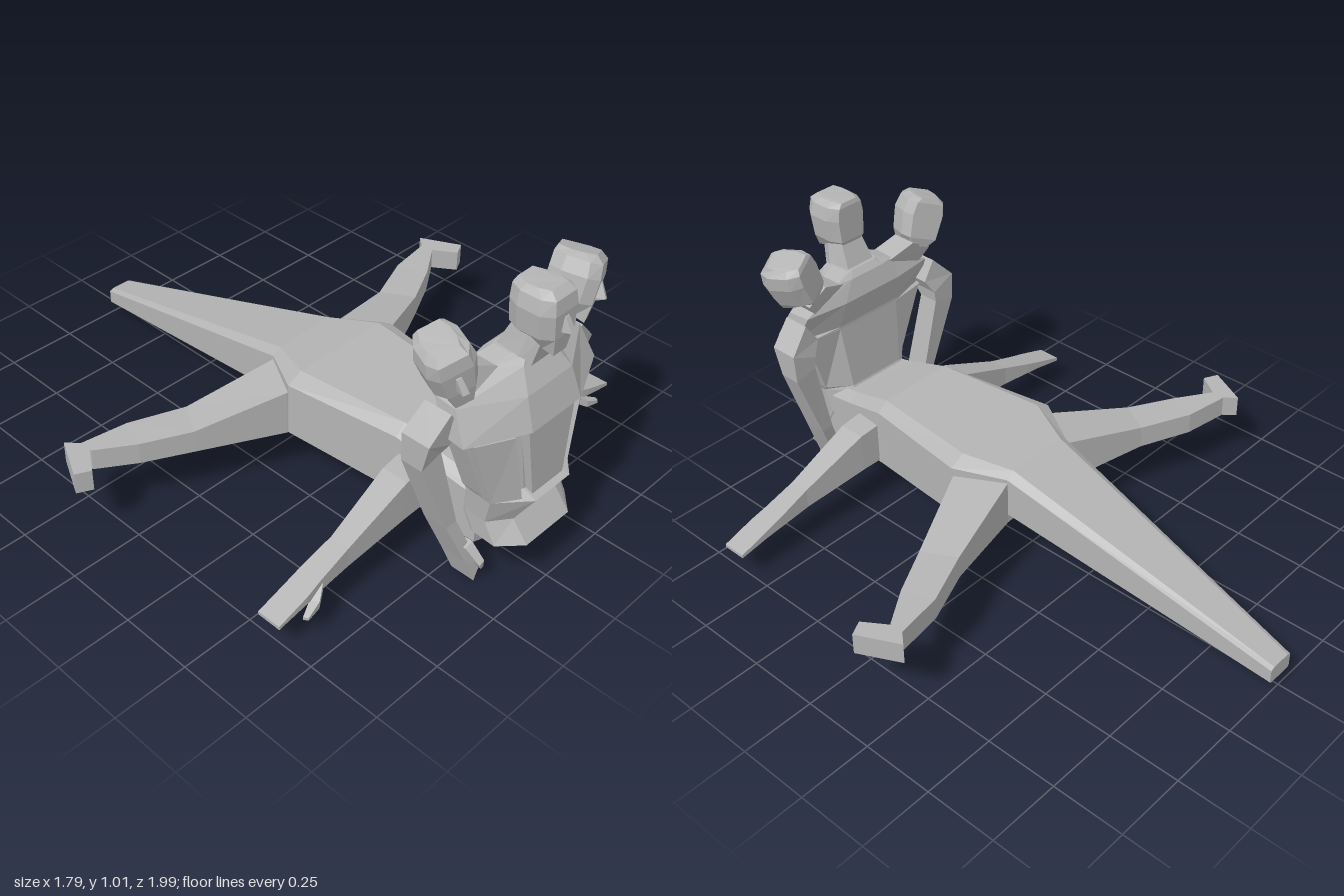
import * as THREE from 'three';

const skin = new THREE.MeshStandardMaterial({ color: 0xb4b4b4, flatShading: true });
skin.name = 'plain grey';

// Closed faceted solid through rings of equal point count; winding is fixed by signed volume
function loft(name, rings) {
  const n = rings[0].length, tris = [];
  for (let r = 0; r < rings.length - 1; r++) {
    for (let i = 0; i < n; i++) {
      const j = (i + 1) % n, a = rings[r][i], b = rings[r][j], c = rings[r + 1][j], d = rings[r + 1][i];
      tris.push([a, b, c], [a, c, d]);
    }
  }
  const last = rings[rings.length - 1];
  for (let i = 1; i < n - 1; i++) {
    tris.push([rings[0][0], rings[0][i + 1], rings[0][i]], [last[0], last[i], last[i + 1]]);
  }
  const v = (p) => new THREE.Vector3(...p);
  const o = v(rings[0][0]);
  const volume = tris.reduce((s, [a, b, c]) =>
    s + v(a).sub(o).dot(v(b).sub(o).cross(v(c).sub(o))), 0);
  const pos = tris.flatMap(([a, b, c]) => (volume < 0 ? [a, c, b] : [a, b, c]).flat());
  const geo = new THREE.BufferGeometry();
  geo.setAttribute('position', new THREE.Float32BufferAttribute(pos, 3));
  geo.computeVertexNormals();
  const mesh = new THREE.Mesh(geo, skin);
  mesh.name = name;
  return mesh;
}

// Ring symmetric in x from one half, listed from one end of the centre line to the other
const mirrorRing = (half) => [...half, ...half.slice().reverse().map(([x, y, z]) => [-x, y, z])];
const flip = (rings, s) => rings.map((ring) => ring.map(([x, y, z]) => [s * x, y, z]));

// Long lower body and tail: z, bottom, top, half widths of top, side and bottom
function makeBody() {
  const rows = [
    [-1, 0.04, 0.10, 0.035, 0.05, 0.045],
    [-0.02, 0.20, 0.38, 0.115, 0.145, 0.13],
    [0.14, 0.165, 0.405, 0.18, 0.235, 0.2],
    [0.54, 0.135, 0.405, 0.14, 0.18, 0.15],
    [0.70, 0.12, 0.36, 0.13, 0.165, 0.12],
    [0.84, 0.115, 0.335, 0.12, 0.16, 0.10],
  ];
  return loft('bodyAndTail', rows.map(([z, yb, yt, wt, ws, wb]) => mirrorRing([
    [wt, yt, z], [ws, yt - 0.12 * (yt - yb), z], [ws, yb + 0.1 * (yt - yb), z], [wb, yb, z],
  ])));
}

// Upright torso: y, front half width and z, side half width and z, back half width and z
function makeTorso() {
  const rows = [
    [0.115, 0.09, 0.88, 0.11, 0.83, 0.09, 0.74],
    [0.18, 0.10, 0.985, 0.17, 0.92, 0.13, 0.72],
    [0.25, 0.10, 0.93, 0.17, 0.88, 0.13, 0.74],
    [0.34, 0.08, 0.985, 0.18, 0.90, 0.11, 0.73],
    [0.36, 0.08, 0.94, 0.19, 0.88, 0.11, 0.74],
    [0.59, 0.10, 0.925, 0.27, 0.86, 0.13, 0.76],
    [0.60, 0.11, 0.97, 0.30, 0.88, 0.13, 0.76],
    [0.70, 0.10, 0.935, 0.28, 0.83, 0.12, 0.73],
    [0.765, 0.07, 0.89, 0.13, 0.83, 0.07, 0.75],
    [0.785, 0.05, 0.88, 0.07, 0.84, 0.05, 0.77],
  ];
  return loft('torso', rows.map(([y, xf, zf, xs, zs, xb, zb]) => mirrorRing([
    [xf, y, zf], [xs, y, zs], [xs * 0.97, y, Math.max(zb + 0.01, zs - 0.08)], [xb, y, zb],
  ])));
}

// Raised belly panels, given as four front corners pushed back for thickness
function panel(name, corners) {
  return loft(name, [corners, corners.map(([x, y, z]) => [x * 0.98, y, z - 0.05])]);
}

// Faceted head with chin, nose and flat crown, built around its own centre
function makeHead(name) {
  const head = new THREE.Group();
  head.name = name;
  // front y, back y, face half width, side half width, front z, back z
  const rows = [
    [-0.10, -0.07, 0.028, 0.035, 0.068, -0.065],
    [-0.04, -0.04, 0.04, 0.066, 0.075, -0.075],
    [0.04, 0.04, 0.05, 0.076, 0.077, -0.075],
    [0.085, 0.085, 0.045, 0.066, 0.07, -0.075],
    [0.105, 0.10, 0.035, 0.045, 0.045, -0.07],
  ];
  head.add(loft('skull', rows.map(([yf, yb, wf, ws, zf, zb]) => mirrorRing([
    [wf, yf, zf], [ws, yf * 0.6 + yb * 0.4, zf - 0.035],
    [ws, yb, zb + 0.04], [ws * 0.72, yb, zb],
  ]))));
  head.add(loft('nose', [
    [[-0.008, 0.025, 0.07], [0.008, 0.025, 0.07], [0.008, 0.025, 0.08], [-0.008, 0.025, 0.08]],
    [[-0.018, -0.025, 0.06], [0.018, -0.025, 0.06], [0.01, -0.018, 0.105], [-0.01, -0.018, 0.105]],
    [[-0.014, -0.035, 0.06], [0.014, -0.035, 0.06], [0.01, -0.03, 0.08], [-0.01, -0.03, 0.08]],
  ]));
  return head;
}

// Upright arm section: outer and inner corner, front and back z
const armRing = ([ox, oy, ix, iy, zf, zb]) => [[ox, oy, zf], [ix, iy, zf], [ix, iy, zb], [ox, oy, zb]];
// Sideways limb section: x and z of both edges, bottom and top
const limbRing = ([xa, za, xb, zb, yb, yt]) => [[xa, yb, za], [xb, yb, zb], [xb, yt, zb], [xa, yt, za]];

function addSide(model, s, side) {
  const add = (name, rings) => model.add(loft(side + name, flip(rings, s)));

  // Hanging upper arm with thumb
  add('UpperArm', [
    [0.295, 0.69, 0.25, 0.62, 0.83, 0.735],
    [0.37, 0.61, 0.28, 0.57, 0.82, 0.72],
    [0.366, 0.51, 0.285, 0.53, 0.795, 0.72],
    [0.27, 0.25, 0.225, 0.25, 0.82, 0.735],
    [0.205, 0.09, 0.172, 0.11, 0.85, 0.76],
    [0.172, 0.0, 0.15, 0.045, 0.86, 0.775],
  ].map(armRing));
  add('UpperThumb', [
    [0.21, 0.15, 0.18, 0.16, 0.85, 0.82],
    [0.195, 0.10, 0.175, 0.11, 0.895, 0.865],
    [0.18, 0.075, 0.17, 0.08, 0.89, 0.88],
  ].map(armRing));

  // Outstretched lower arm with thumb
  add('LowerArm', [
    [0.14, 0.55, 0.14, 0.65, 0.17, 0.32],
    [0.25, 0.555, 0.25, 0.65, 0.165, 0.305],
    [0.49, 0.575, 0.49, 0.645, 0.135, 0.205],
    [0.61, 0.57, 0.61, 0.65, 0.125, 0.165],
    [0.67, 0.57, 0.67, 0.655, 0.118, 0.145],
    [0.78, 0.57, 0.78, 0.655, 0.098, 0.11],
  ].map(limbRing));
  add('LowerThumb', [
    [0.60, 0.62, 0.60, 0.65, 0.12, 0.15],
    [0.655, 0.65, 0.64, 0.675, 0.095, 0.12],
    [0.70, 0.668, 0.69, 0.682, 0.088, 0.098],
  ].map(limbRing));

  // Hind leg and angled foot
  add('HindLeg', [
    [0.10, -0.02, 0.17, 0.15, 0.185, 0.36],
    [0.145, -0.022, 0.235, 0.135, 0.185, 0.345],
    [0.45, -0.10, 0.515, 0.01, 0.20, 0.28],
    [0.63, -0.175, 0.67, -0.07, 0.20, 0.275],
    [0.79, -0.20, 0.79, -0.15, 0.20, 0.275],
  ].map(limbRing));
  add('HindFoot', [
    [0.825, -0.24, 0.775, -0.18, 0.20, 0.275],
    [0.895, -0.10, 0.845, -0.075, 0.20, 0.275],
  ].map(limbRing));

  // Outer head leaning and turned away, with its neck
  add('Neck', [
    [[0.08, 0.75, 0.85], [0.08, 0.75, 0.76], [0.22, 0.68, 0.76], [0.22, 0.68, 0.85]],
    [[0.20, 0.80, 0.82], [0.20, 0.80, 0.73], [0.275, 0.755, 0.73], [0.275, 0.755, 0.82]],
  ]);
  const head = makeHead(side + 'Head');
  head.position.set(s * 0.28, 0.83, 0.79);
  head.rotation.set(0, s * 0.4, -s * 0.35);
  head.rotation.order = 'ZYX';
  model.add(head);

  // Side belly panel
  model.add(panel(side + 'BellyPanel', flip([[
    [0.15, 0.59, 0.945], [0.262, 0.59, 0.89], [0.185, 0.345, 0.905], [0.105, 0.345, 0.955],
  ]], s)[0]));
}

export function createModel() {
  const model = new THREE.Group();
  model.name = 'threeHeadedCreature';
  model.add(makeBody(), makeTorso());
  model.add(panel('middleBellyPanel', [
    [-0.105, 0.595, 0.955], [0.105, 0.595, 0.955], [0.07, 0.345, 0.965], [-0.07, 0.345, 0.965],
  ]));

  // Central neck and head
  model.add(loft('middleNeck', [
    mirrorRing([[0.05, 0.76, 0.90], [0.07, 0.76, 0.86], [0.06, 0.76, 0.77]]),
    mirrorRing([[0.035, 0.86, 0.92], [0.05, 0.86, 0.88], [0.045, 0.86, 0.815]]),
  ]));
  const head = makeHead('middleHead');
  head.position.set(0, 0.91, 0.885);
  model.add(head);

  addSide(model, 1, 'left');
  addSide(model, -1, 'right');
  return model;
}
